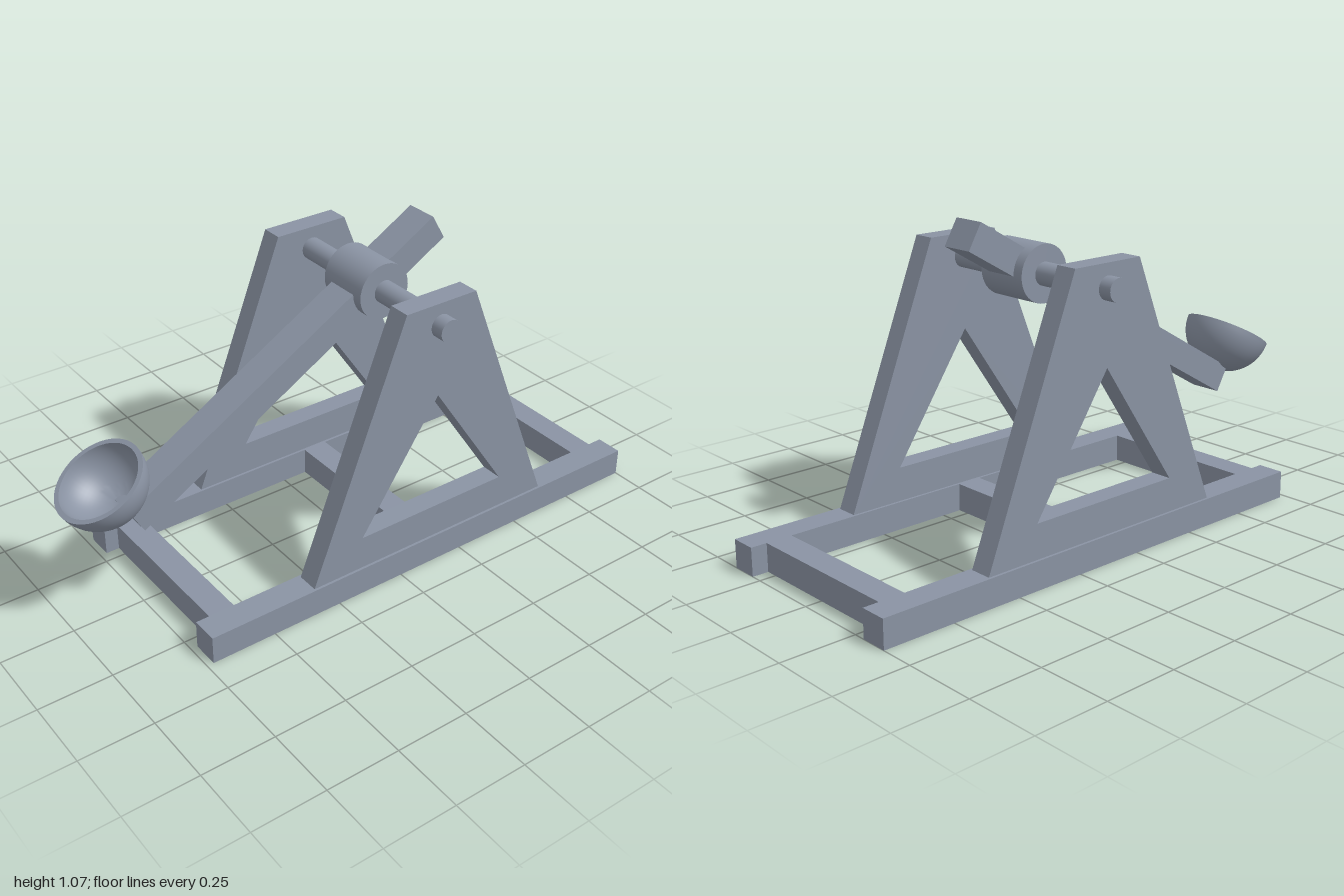
import * as THREE from 'three';
import { toCreasedNormals } from 'three/addons/utils/BufferGeometryUtils.js';

export function createModel() {
  const model = new THREE.Group();
  model.name = 'catapult';
  const grey = new THREE.MeshStandardMaterial({ color: 0x8a93a3 });
  grey.name = 'slate grey';

  const add = (name, geometry, x, y, z, tilt = 0) => {
    const mesh = new THREE.Mesh(geometry, grey);
    mesh.name = name;
    mesh.position.set(x, y, z);
    mesh.rotation.z = tilt;
    model.add(mesh);
    return mesh;
  };

  const PIVOT_X = 0.135, PIVOT_Y = 0.885, TILT = Math.PI / 6;
  const BASE_H = 0.096;

  // Triangular side frame with a triangular opening
  const outline = new THREE.Shape([
    [-0.343, BASE_H], [0.613, BASE_H], [0.27, 0.962], [0, 0.962],
  ].map(p => new THREE.Vector2(...p)));
  outline.holes.push(new THREE.Path([
    [-0.155, 0.212], [0.135, 0.637], [0.422, 0.212],
  ].map(p => new THREE.Vector2(...p))));
  const frameDepth = 0.076;
  const frame = new THREE.ExtrudeGeometry(outline, { depth: frameDepth, bevelEnabled: false });
  frame.translate(0, 0, -frameDepth / 2);

  // Base rails and side frames, front and back
  for (const [side, s] of [['front', 1], ['back', -1]]) {
    add(side + 'Rail', new THREE.BoxGeometry(1.727, BASE_H, 0.094), 0.1365, BASE_H / 2, s * 0.337);
    add(side + 'Frame', frame, 0, 0, s * 0.337);
  }

  // Three cross beams joining the rails
  for (const [name, x] of [['right', -0.635], ['middle', PIVOT_X], ['left', 0.9]]) {
    add(name + 'CrossBeam', new THREE.BoxGeometry(0.09, BASE_H, 0.58), x, BASE_H / 2, 0);
  }

  // Axle and hub
  const rod = (radius, length) =>
    new THREE.CylinderGeometry(radius, radius, length, 40).rotateX(Math.PI / 2);
  add('axle', rod(0.038, 0.844), PIVOT_X, PIVOT_Y, 0);
  add('hub', rod(0.095, 0.19), PIVOT_X, PIVOT_Y, 0);

  // Throwing arm
  add('throwingArm', new THREE.BoxGeometry(1.34, 0.097, 0.115), -0.198, 0.692, 0, TILT);

  // Hollow hemispherical bowl: outer wall up to the rim, inner wall back down
  const profile = [];
  const steps = 16, outer = 0.153, inner = 0.137;
  for (let i = 0; i <= steps; i++) {
    const a = (i / steps) * Math.PI / 2;
    profile.push(new THREE.Vector2(outer * Math.sin(a), -outer * Math.cos(a)));
  }
  for (let i = steps; i >= 0; i--) {
    const a = (i / steps) * Math.PI / 2;
    profile.push(new THREE.Vector2(inner * Math.sin(a), -inner * Math.cos(a)));
  }
  const bowl = toCreasedNormals(new THREE.LatheGeometry(profile, 48), Math.PI / 5);
  add('bowl', bowl, -0.867, 0.515, 0, TILT);

  return model;
}
